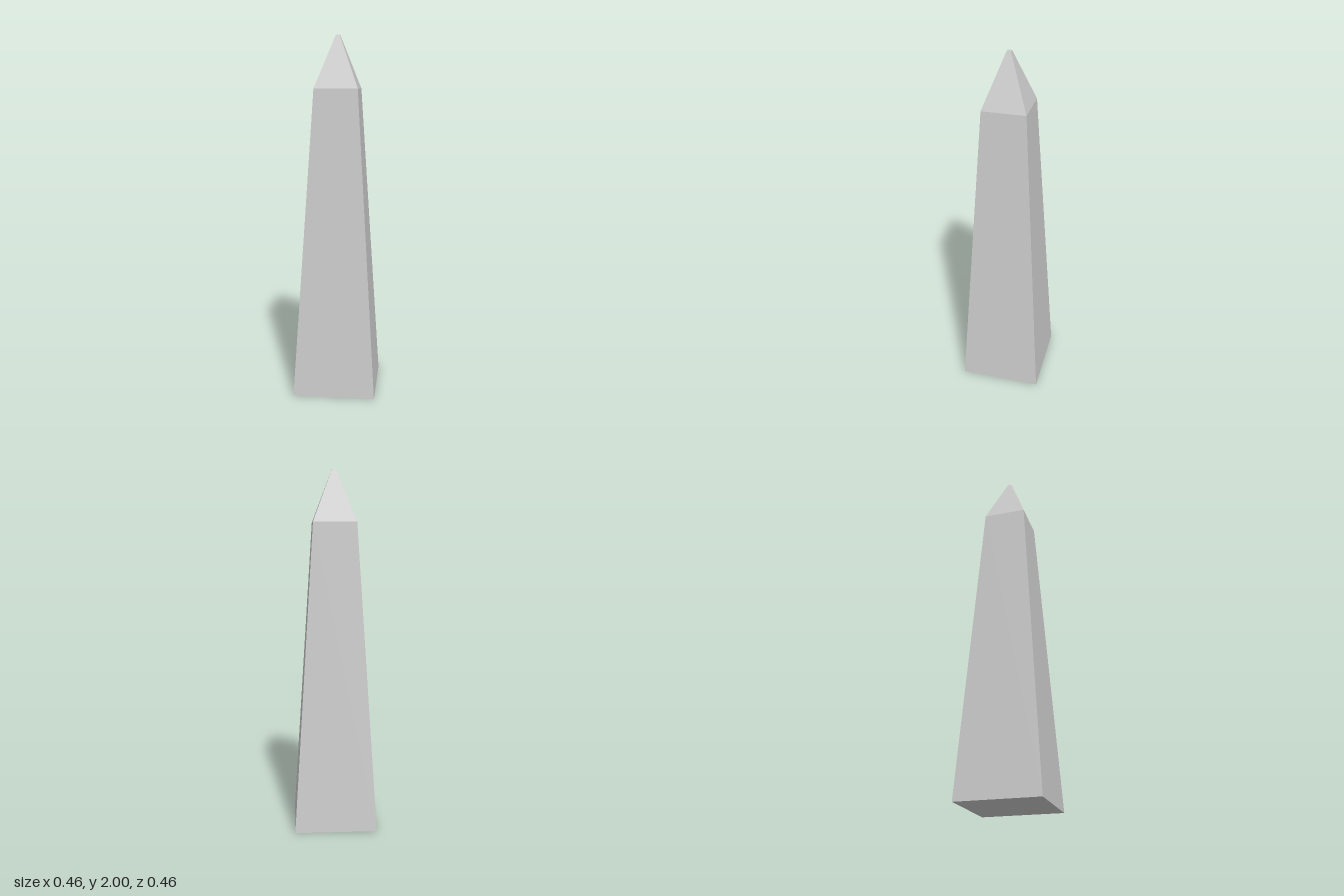
import * as THREE from 'three';

const material = new THREE.MeshStandardMaterial({ color: 0xcccccc, flatShading: true });

// Four-sided solid from [half width, height] pairs, listed bottom to top
function squareSolid(name, profile) {
  const points = profile.map(([half, y]) => new THREE.Vector2(half * Math.SQRT2, y));
  const mesh = new THREE.Mesh(new THREE.LatheGeometry(points, 4, Math.PI / 4), material);
  mesh.name = name;
  return mesh;
}

export function createModel() {
  const group = new THREE.Group();
  group.name = 'obelisk';

  const base = 0.229, shoulder = 0.119, tip = 0.011;
  const shoulderY = 1.715, height = 2;

  // Tapering shaft, closed underneath
  group.add(squareSolid('shaft', [[0, 0], [base, 0], [shoulder, shoulderY]]));

  // Steeper pyramid cap with a tiny flat top
  group.add(squareSolid('pyramidCap', [[shoulder, shoulderY], [tip, height], [0, height]]));

  return group;
}
